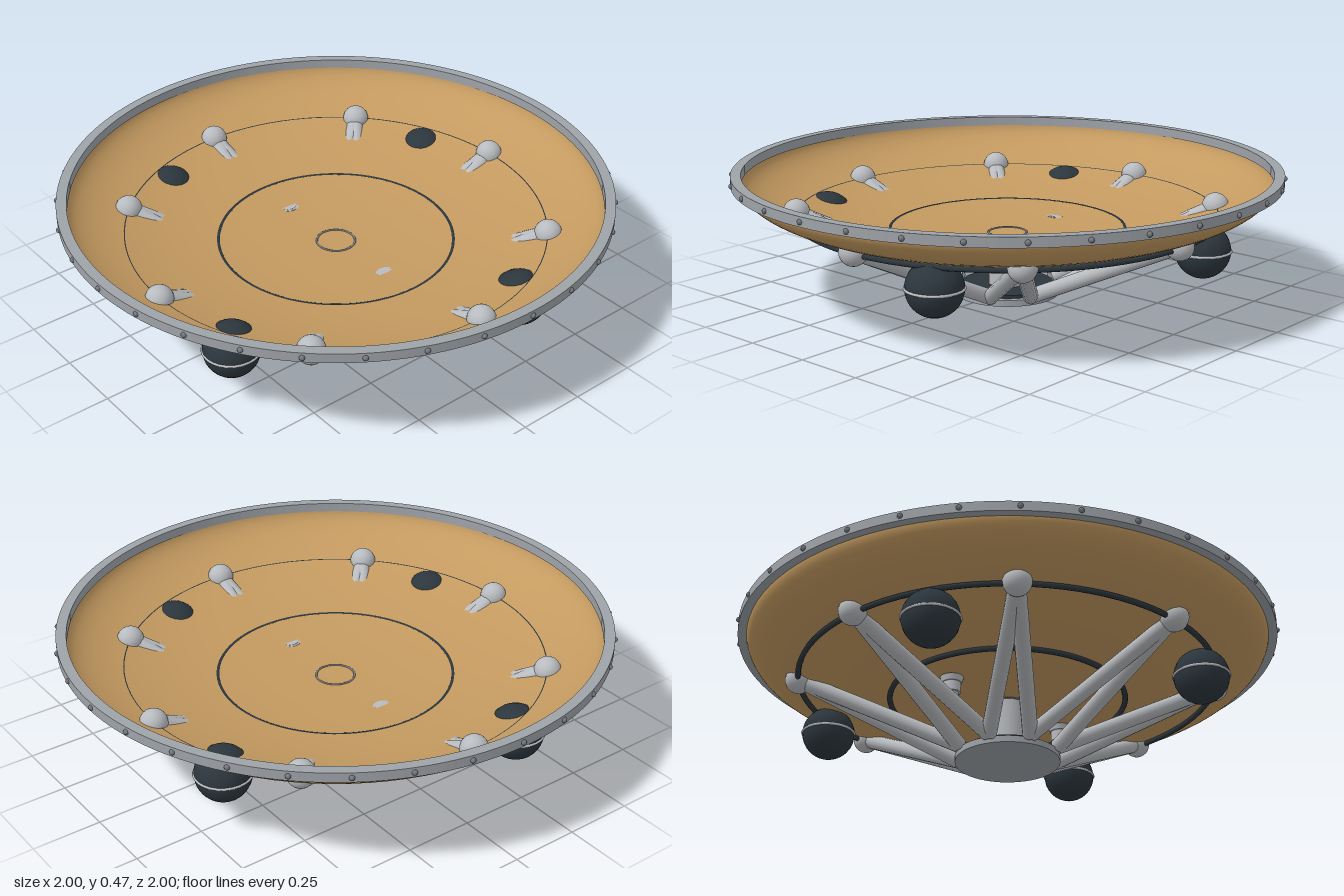
import * as THREE from 'three';

const mat = (name, color, side = THREE.FrontSide) => {
  const m = new THREE.MeshStandardMaterial({ color, side });
  m.name = name;
  return m;
};

export function createModel() {
  const root = new THREE.Group();
  root.name = 'dishOnStruts';
  const amber = mat('amber dish', 0xc49a60, THREE.DoubleSide);
  const light = mat('light grey strut', 0xb8bbbf);
  const steel = mat('steel rim', 0x9ea3a8);
  const dark = mat('dark slate', 0x2c363d);
  const boltGrey = mat('bolt grey', 0x757a80);

  const add = (name, geo, m, x = 0, y = 0, z = 0, parent = root) => {
    const mesh = new THREE.Mesh(geo, m);
    mesh.name = name;
    mesh.position.set(x, y, z);
    parent.add(mesh);
    return mesh;
  };
  const polar = (r, a, y) => new THREE.Vector3(r * Math.sin(a), y, r * Math.cos(a));
  const rod = (name, a, b, r, m) => {
    const d = b.clone().sub(a);
    const mesh = add(name, new THREE.CylinderGeometry(r, r, d.length(), 14), m);
    mesh.position.copy(a).add(b).multiplyScalar(0.5);
    mesh.quaternion.setFromUnitVectors(new THREE.Vector3(0, 1, 0), d.normalize());
  };
  const hoop = (name, r, tube, m, x, y, z) => {
    const geo = new THREE.TorusGeometry(r, tube, 8, 96).rotateX(Math.PI / 2);
    return add(name, geo, m, x, y, z);
  };

  // Shallow elliptical bowl
  const R = 0.96, TOP = 0.45, DEPTH = 0.224;
  const dishY = (r) => TOP - DEPTH * Math.sqrt(Math.max(0, 1 - (r / R) ** 2));
  const profile = [];
  for (let i = 0; i <= 28; i++) {
    const t = (i / 28) * Math.PI / 2;
    profile.push(new THREE.Vector2(R * Math.sin(t), TOP - DEPTH * Math.cos(t)));
  }
  add('dish', new THREE.LatheGeometry(profile, 96), amber);

  // Flat-sided rim band with bolts
  const rimShape = new THREE.Shape().absarc(0, 0, 0.99, 0, Math.PI * 2);
  rimShape.holes.push(new THREE.Path().absarc(0, 0, 0.953, 0, Math.PI * 2, true));
  const rimGeo = new THREE.ExtrudeGeometry(rimShape, { depth: 0.035, bevelEnabled: false, curveSegments: 96 });
  add('rim', rimGeo.rotateX(-Math.PI / 2), steel, 0, 0.44, 0);
  const boltGeo = new THREE.SphereGeometry(0.01, 10, 6);
  for (let i = 0; i < 32; i++) {
    const p = polar(0.99, (i / 32) * Math.PI * 2, 0.457);
    add('rimBolt', boltGeo, boltGrey, p.x, p.y, p.z);
  }

  // Dark support hoops beneath the bowl, just breaking its surface
  hoop('outerHoop', 0.765, 0.01, dark, 0, dishY(0.765) - 0.0095, 0);
  hoop('innerHoop', 0.43, 0.01, dark, 0, dishY(0.43) - 0.008, 0);

  // Base plate and central column
  add('basePlate', new THREE.CylinderGeometry(0.19, 0.19, 0.024, 48), steel, 0, 0.012, 0);
  add('baseCollar', new THREE.CylinderGeometry(0.17, 0.17, 0.012, 48), dark, 0, 0.03, 0);
  add('column', new THREE.CylinderGeometry(0.07, 0.07, 0.2, 32), light, 0, 0.125, 0);
  hoop('columnRing', 0.07, 0.004, boltGrey, 0, dishY(0.07), 0);

  // Eight ball joints, each carried by a pair of struts
  const jointGeo = new THREE.SphereGeometry(0.05, 20, 14);
  for (let i = 0; i < 8; i++) {
    const a = (i / 8) * Math.PI * 2;
    const top = polar(0.765, a, 0.313);
    add('joint', jointGeo, light, top.x, top.y, top.z);
    for (const s of [-1, 1]) {
      rod('strut', polar(0.19, a + s * Math.PI / 8, 0.034), top, 0.028, light);
    }
  }

  // Four dark spheres with a thin equator band
  const ballGeo = new THREE.SphereGeometry(0.099, 24, 18);
  for (let i = 0; i < 4; i++) {
    const p = polar(0.725, Math.PI / 8 + i * Math.PI / 2, 0.223);
    add('ball', ballGeo, dark, p.x, p.y, p.z);
    hoop('ballBand', 0.098, 0.005, light, p.x, p.y, p.z);
  }

  // Two small stubs hanging below the bowl
  for (const s of [-1, 1]) {
    const z = s * 0.29;
    add('stub', new THREE.CylinderGeometry(0.032, 0.032, 0.06, 20), light, 0, 0.206, z);
    add('stubCap', new THREE.CylinderGeometry(0.042, 0.036, 0.022, 20), light, 0, 0.224, z);
    add('stubTip', new THREE.SphereGeometry(0.026, 16, 10), light, 0, 0.18, z);
  }

  return root;
}
